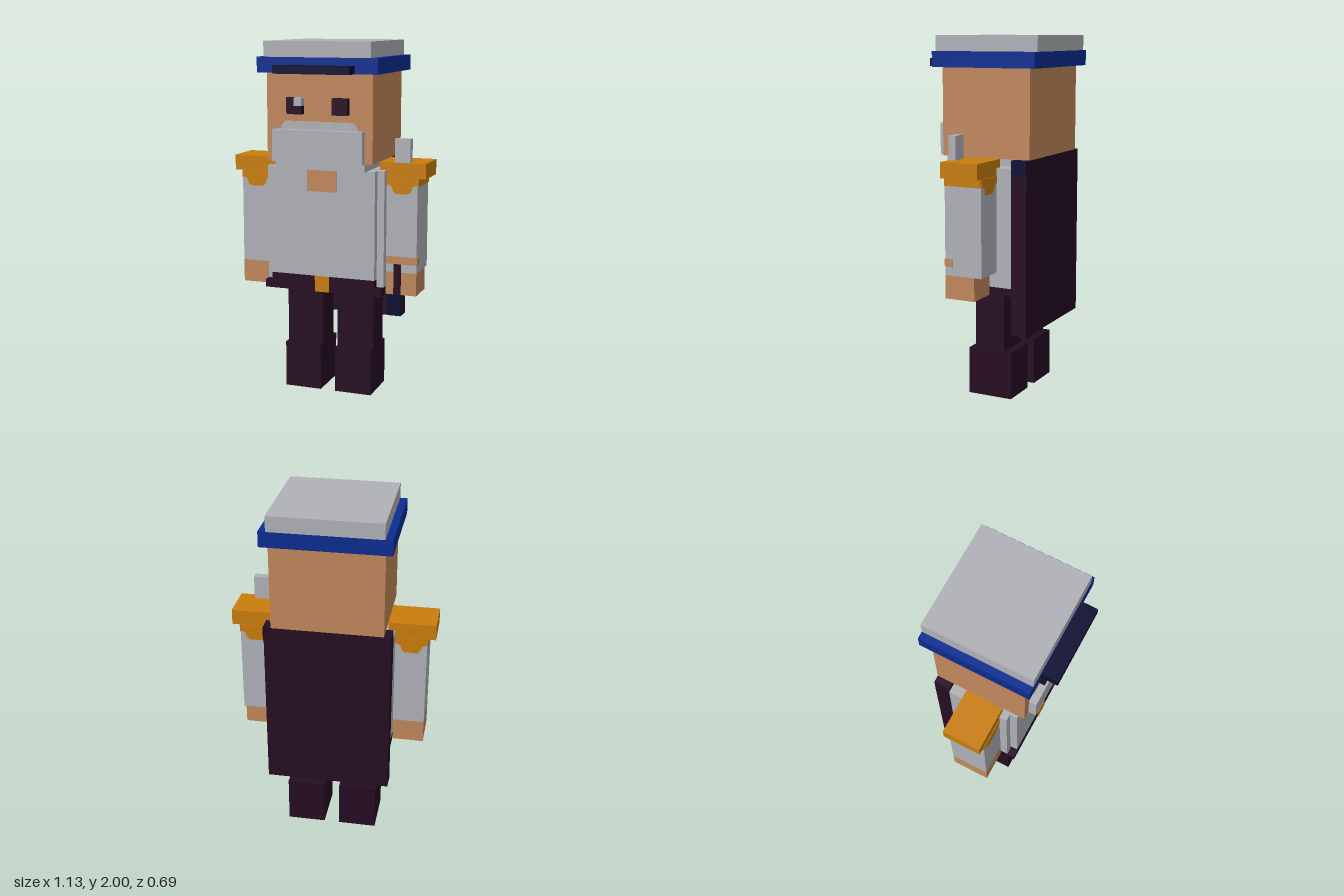
import * as THREE from 'three';

const mat = (name, color) => {
  const m = new THREE.MeshStandardMaterial({ color });
  m.name = name;
  return m;
};

export function createModel() {
  const grey = mat('lightGrey', 0xb0b1b7);
  const skin = mat('skin', 0xc1875c);
  const gold = mat('gold', 0xc97d0c);
  const dark = mat('darkPlum', 0x250d22);
  const blue = mat('blue', 0x0b2d91);
  const navy = mat('navy', 0x0a0b32);

  const model = new THREE.Group();
  model.name = 'blockFigure';

  // Box given by its extents on each axis
  const box = (name, material, [x0, x1], [y0, y1], [z0, z1]) => {
    const mesh = new THREE.Mesh(new THREE.BoxGeometry(x1 - x0, y1 - y0, z1 - z0), material);
    mesh.position.set((x0 + x1) / 2, (y0 + y1) / 2, (z0 + z1) / 2);
    mesh.name = name;
    model.add(mesh);
    return mesh;
  };
  const T = 0.004; // thickness of painted details

  // Extents on the figure's left (+1) or right (-1)
  const side = (s, a, b) => (s > 0 ? [a, b] : [-b, -a]);

  // Hat
  box('hatCrown', grey, [-0.305, 0.305], [1.915, 2], [-0.348, 0.26]);
  box('hatBand', blue, [-0.345, 0.345], [1.83, 1.915], [-0.348, 0.26]);
  box('hatVisor', navy, [-0.217, 0.217], [1.83, 1.873], [0.26, 0.347]);

  // Head and face
  box('head', skin, [-0.305, 0.305], [1.35, 1.83], [-0.305, 0.217]);
  box('leftEye', dark, [0.087, 0.174], [1.61, 1.7], [0.217, 0.26]);
  box('rightEyeLower', dark, [-0.174, -0.087], [1.61, 1.655], [0.217, 0.26]);
  box('rightEyeUpper', dark, [-0.174, -0.131], [1.655, 1.7], [0.217, 0.26]);
  box('rightEyeGlint', grey, [-0.131, -0.087], [1.655, 1.7], [0.217, 0.26]);
  box('beard', grey, [-0.26, 0.26], [1.35, 1.525], [0.217, 0.26]);
  box('beardUnderside', grey, [-0.26, 0.26], [1.305, 1.35], [-0.217, 0.217]);
  const moustache = new THREE.Shape();
  [[-0.225, 1.525], [0.225, 1.525], [0.217, 1.55], [0.195, 1.57], [-0.195, 1.57], [-0.217, 1.55]]
    .forEach(([x, y], i) => (i ? moustache.lineTo(x, y) : moustache.moveTo(x, y)));
  const lip = new THREE.Mesh(new THREE.ExtrudeGeometry(moustache, { depth: T, bevelEnabled: false }), grey);
  lip.position.z = 0.217;
  lip.name = 'moustache';
  model.add(lip);

  // Torso and belt
  box('torso', grey, [-0.305, 0.305], [0.7, 1.305], [-0.217, 0.174]);
  box('openCollar', skin, [-0.087, 0.083], [1.18, 1.305], [0.174, 0.174 + T]);
  box('belt', dark, [-0.305, 0.305], [0.61, 0.7], [-0.217, 0.174]);
  box('buckle', gold, [-0.044, 0.04], [0.61, 0.7], [0.174, 0.174 + T]);

  // Cape with navy patches at the left side
  box('cape', dark, [-0.345, 0.345], [0.395, 1.35], [-0.305, -0.217]);
  box('capeTopPatch', navy, [0.345, 0.345 + T], [1.27, 1.35], [-0.305, -0.217]);
  box('capeLowerPatch', navy, [0.26, 0.345], [0.395, 0.52], [-0.217, -0.217 + T]);

  // Gold fringe hanging below a shoulder pad
  const fringe = new THREE.Shape();
  [[-0.087, 0], [-0.087, -0.035], [-0.06, -0.045], [-0.05, -0.075], [-0.035, -0.087],
    [0.035, -0.087], [0.05, -0.075], [0.06, -0.045], [0.087, -0.035], [0.087, 0]]
    .forEach(([x, y], i) => (i ? fringe.lineTo(x, y) : fringe.moveTo(x, y)));
  const fringeGeo = new THREE.ExtrudeGeometry(fringe, { depth: T, bevelEnabled: false });

  for (const s of [1, -1]) {
    const n = s > 0 ? 'left' : 'right';
    // Coat flaps and hips
    box(n + 'CoatFlap', grey, side(s, 0.305, 0.345), [0.655, 1.305], [-0.217, 0.13]);
    box(n + 'Hip', dark, side(s, 0.305, 0.345), [0.61, 0.655], [-0.217, 0.174]);

    // Legs and boots
    box(n + 'Leg', dark, side(s, 0.044, 0.26), [0.265, 0.61], [-0.13, 0.044]);
    box(n + 'Boot', dark, side(s, 0.044, 0.26), [0, 0.265], [-0.174, 0.087]);

    // Arms
    box(n + 'Sleeve', grey, side(s, 0.345, 0.52), [0.738, 1.265], [-0.13, 0.087]);
    box(n + 'Hand', skin, side(s, 0.345, 0.52), [0.61, 0.738], [s > 0 ? -0.087 : -0.13, 0.087]);
    box(n + 'ShoulderPad', gold, side(s, 0.305, 0.565), [1.265, 1.35], [-0.13, 0.087]);
    box(n + 'SideFringe', gold, side(s, 0.52, 0.52 + T), [1.22, 1.265], [-0.13, 0.087]);
    for (const z of [0.087, -0.13 - T]) {
      const f = new THREE.Mesh(fringeGeo, gold);
      f.position.set(s * 0.4325, 1.265, z);
      f.name = n + 'Fringe';
      model.add(f);
    }
  }

  // Left arm details: wrist band, held rod and shoulder rod
  box('wristBand', skin, [0.345, 0.52], [0.785, 0.828], [0.087, 0.087 + T]);
  box('wristBandSide', skin, [0.52, 0.52 + T], [0.785, 0.828], [0.044, 0.087]);
  box('heldRod', dark, [0.39, 0.432], [0.61, 0.785], [0.087, 0.087 + T]);
  box('shoulderRod', grey, [0.39, 0.477], [1.35, 1.48], [0.044, 0.087]);

  return model;
}
